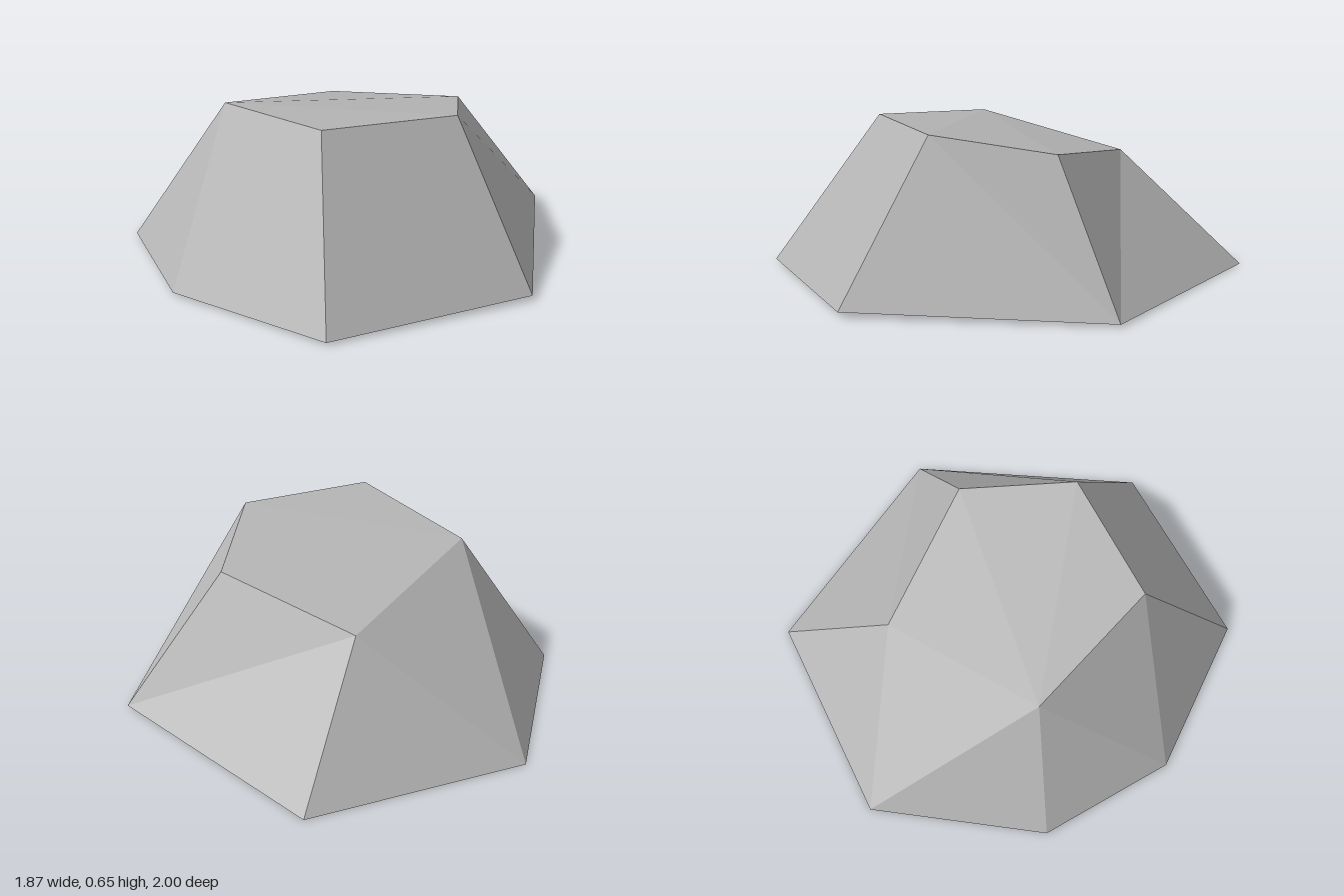
import * as THREE from 'three';

export function createModel() {
  const group = new THREE.Group();
  group.name = 'boulder';
  const stone = new THREE.MeshStandardMaterial({ color: 0xb4b4b4 });
  stone.name = 'stone grey';

  // Base ring (0-6) and crown ring (7-11), both counter-clockwise from above
  const corners = [
    [0.93, 0.01, -0.23], [0.24, 0, -1], [-0.66, 0, -0.78], [-0.94, 0.01, -0.05],
    [-0.77, 0.01, 0.54], [-0.22, 0.01, 1], [0.61, 0.02, 0.77],
    [0.5, 0.565, -0.1], [-0.01, 0.485, -0.52], [-0.53, 0.61, 0],
    [-0.18, 0.65, 0.53], [0.38, 0.64, 0.39],
  ];

  const facets = {
    crown: [[9, 10, 11, 7, 8]],
    sides: [
      [0, 1, 8, 7], [1, 2, 8], [2, 9, 8], [2, 3, 9], [3, 4, 9],
      [4, 10, 9], [4, 5, 10], [5, 6, 11, 10], [11, 6, 0, 7],
    ],
    underside: [[6, 5, 4, 3, 2, 1, 0]],
  };

  // Each facet is a fan with its own corners, so edges stay sharp
  for (const [name, polygons] of Object.entries(facets)) {
    const positions = [];
    for (const p of polygons) {
      for (let i = 1; i < p.length - 1; i++) {
        positions.push(...corners[p[0]], ...corners[p[i]], ...corners[p[i + 1]]);
      }
    }
    const geometry = new THREE.BufferGeometry();
    geometry.setAttribute('position', new THREE.Float32BufferAttribute(positions, 3));
    geometry.computeVertexNormals();
    const mesh = new THREE.Mesh(geometry, stone);
    mesh.name = name;
    group.add(mesh);
  }
  return group;
}
